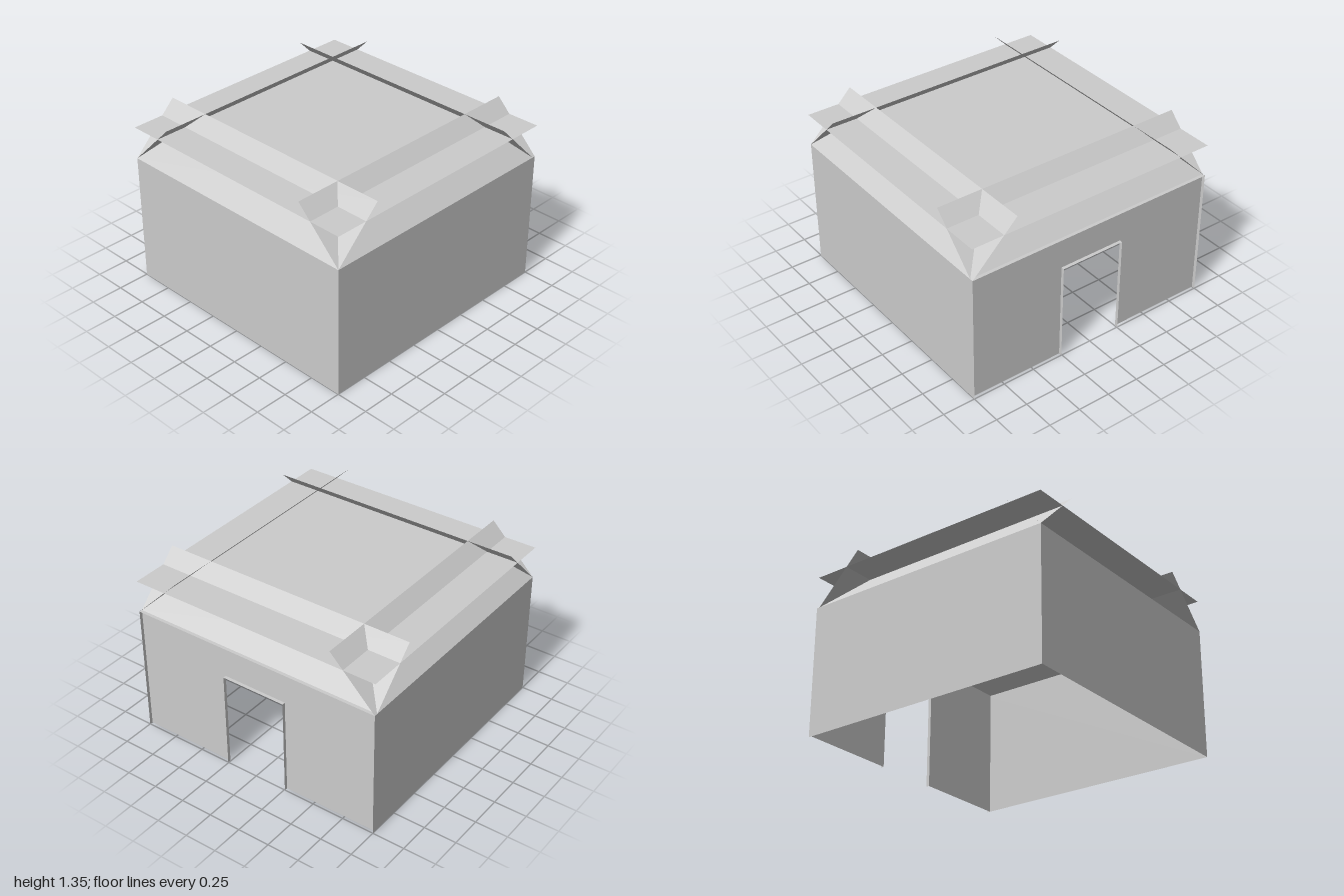
import * as THREE from 'three';

export function createModel() {
  const model = new THREE.Group();
  model.name = 'hut';
  const plaster = new THREE.MeshStandardMaterial({ color: 0xcccccc, side: THREE.DoubleSide });
  plaster.name = 'light grey';

  const WALL_H = 1, ROOF_Y = 1.25, SLOPE = 0.5, DEPTH = 0.025;
  const DOOR_W = 0.51, DOOR_H = 0.752;

  const add = (parent, name, geometry) => {
    const mesh = new THREE.Mesh(geometry, plaster);
    mesh.name = name;
    parent.add(mesh);
    return mesh;
  };

  // Each side is built facing +z, then turned into place
  ['front', 'left', 'back', 'right'].forEach((side, i) => {
    const group = new THREE.Group();
    group.name = side + 'Side';
    group.rotation.y = i * Math.PI / 2;
    model.add(group);
    const hasDoor = i === 1;
    const z = hasDoor ? 1 - DEPTH : 1;

    // Sloped roof panel leaning in at 45 degrees
    add(group, side + 'RoofSlope', new THREE.PlaneGeometry(2, SLOPE)
      .translate(0, SLOPE / 2, 0).rotateX(-Math.PI / 4).translate(0, WALL_H, z));

    if (!hasDoor) {
      add(group, side + 'Wall', new THREE.PlaneGeometry(2, WALL_H).translate(0, WALL_H / 2, z));
      return;
    }

    // Wall with doorway, slightly recessed
    const d = DOOR_W / 2;
    const outline = new THREE.Shape([
      [-1, 0], [-d, 0], [-d, DOOR_H], [d, DOOR_H], [d, 0], [1, 0], [1, WALL_H], [-1, WALL_H],
    ].map(([x, y]) => new THREE.Vector2(x, y)));
    add(group, 'doorWall', new THREE.ShapeGeometry(outline).translate(0, 0, z));

    // Thin rims reaching out to the outer face
    for (const s of [-1, 1]) {
      add(group, 'doorJamb', new THREE.PlaneGeometry(DEPTH, DOOR_H)
        .rotateY(-s * Math.PI / 2).translate(s * d, DOOR_H / 2, 1 - DEPTH / 2));
    }
    for (const [name, w, y] of [['doorLintel', DOOR_W, DOOR_H], ['wallLedge', 2, WALL_H]]) {
      add(group, name, new THREE.PlaneGeometry(w, DEPTH)
        .rotateX(-Math.PI / 2).translate(0, y, 1 - DEPTH / 2));
    }
  });

  // Flat roof cutting through the slopes
  add(model, 'flatRoof', new THREE.PlaneGeometry(2, 2).rotateX(-Math.PI / 2).translate(0, ROOF_Y, 0));

  return model;
}
